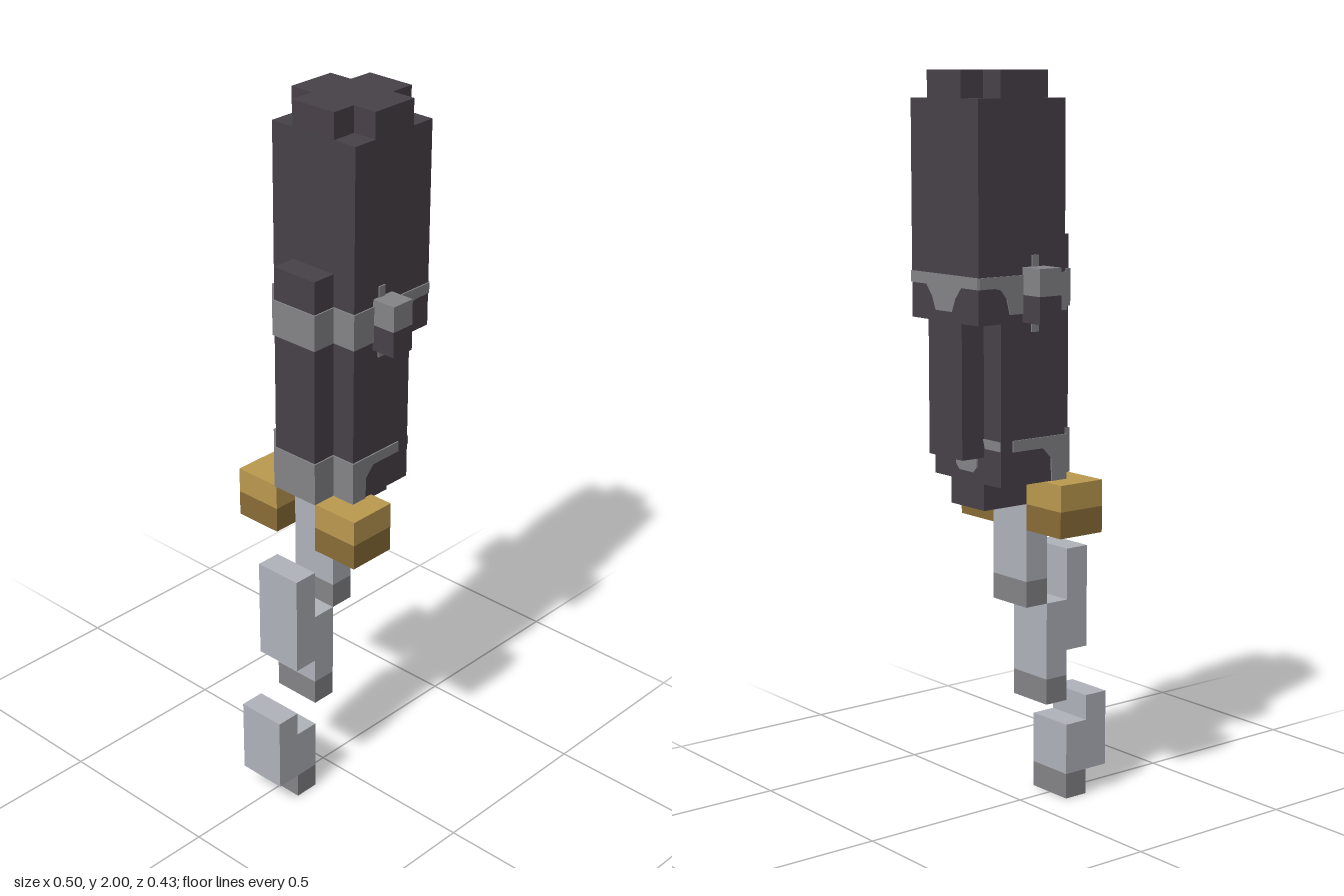
import * as THREE from 'three';

const U = 1 / 14; // one block
const E = 0.004;  // thickness of painted plates

function material(name, color) {
  const m = new THREE.MeshStandardMaterial({ color });
  m.name = name;
  return m;
}

export function createModel() {
  const dark = material('darkGrip', 0x484249);
  const grey = material('steelGrey', 0x858589);
  const pale = material('paleSteel', 0xb1b4bc);
  const gold = material('gold', 0xbd9b50);
  const bronze = material('darkGold', 0x8b6d38);
  const model = new THREE.Group();

  const add = (name, geometry, mat) => {
    const mesh = new THREE.Mesh(geometry, mat);
    mesh.name = name;
    model.add(mesh);
    return mesh;
  };
  // box given by its limits
  const span = (name, mat, x0, x1, y0, y1, z0, z1) =>
    add(name, new THREE.BoxGeometry(x1 - x0, y1 - y0, z1 - z0), mat)
      .position.set((x0 + x1) / 2, (y0 + y1) / 2, (z0 + z1) / 2);
  // box in block units, x counted from the model's right edge
  const block = (name, mat, i0, i1, j0, j1, k0, k1) =>
    span(name, mat, (i0 - 3.5) * U, (i1 - 3.5) * U, j0 * U, j1 * U, k0 * U, k1 * U);
  // thin painted plate from an outline
  const plate = (points) => new THREE.ExtrudeGeometry(
    new THREE.Shape(points.map(([x, y]) => new THREE.Vector2(x, y))),
    { depth: E, bevelEnabled: false });
  const frontAndBack = (name, points, z) => {
    add(name + 'Front', plate(points), grey).position.z = z;
    add(name + 'Back', plate(points), grey).position.z = -z - E;
  };
  const leftSide = (name, points, x) => {
    const mesh = add(name, plate(points), grey);
    mesh.rotation.y = Math.PI / 2;
    mesh.position.x = x;
  };

  // body: cross-shaped cap, wide upper part, narrower lower part
  block('capAcross', dark, 3, 7, 27, 28, -1, 1);
  for (const s of [-1, 1]) {
    block('capSide', dark, 4, 6, 27, 28, Math.min(s, 2 * s), Math.max(s, 2 * s));
  }
  block('upperBody', dark, 3, 7, 19, 27, -2, 2);
  block('lowerBody', dark, 3, 6, 13, 19, -2, 2);
  block('bodyFoot', dark, 4, 6, 12, 13, -1, 1);
  block('leftRib', dark, 6, 7, 14, 19, -1, 1);
  block('rightRib', dark, 2, 3, 13, 22, -1, 1);

  // pegs and gold guards on both faces
  for (const s of [-1, 1]) {
    const near = (a, b) => (s > 0 ? [a, b] : [-b, -a]);
    block('pegTop', grey, 4, 5, 20, 21, ...near(2, 3));
    block('pegBase', dark, 4, 5, 19, 20, ...near(2, 3));
    block('guardTop', gold, 2, 4, 12, 13, ...near(1, 3));
    block('guardBase', bronze, 2, 4, 11, 12, ...near(1, 3));
  }

  // stepped blade segments with shaded lower ends
  block('bladeUpper', pale, 3, 4, 9, 13, -1, 1);
  block('bladeUpperEnd', grey, 3, 4, 8, 9, -1, 1);
  block('bladeMiddle', pale, 2, 3, 5, 8, -1, 1);
  block('bladeMiddleEnd', grey, 2, 3, 4, 5, -1, 1);
  block('bladeMiddleStep', pale, 1, 2, 6, 10, -1, 1);
  block('bladeTip', pale, 1, 2, 1, 3, -1, 1);
  block('bladeTipEnd', grey, 1, 2, 0, 1, -1, 1);
  block('bladeTipStep', pale, 0, 1, 1, 4, -1, 1);

  // painted bands around the right rib and right side
  const x3 = -0.5 * U, x2 = -1.5 * U;
  for (const [y0, y1] of [[1.38, 1.48], [13 * U, 1.05]]) {
    span('ribBand', grey, x2 - E, x3, y0, y1, -U - E, U + E);
    span('sideBand', grey, x3 - E, x3, y0, y1, -2 * U - E, 2 * U + E);
  }

  // painted bands on front and back
  frontAndBack('upperBand', [[x3, 1.38], [0.15, 1.38], [0.16, 1.42], [0.18, 1.445],
    [0.2, 1.45], [0.25, 1.45], [0.25, 1.48], [x3, 1.48]], 2 * U);
  frontAndBack('lowerBand', [[x3, 13 * U], [0.01, 13 * U], [0.012, 0.99], [0.04, 1.02],
    [0.14, 1.02], [0.14, 1.05], [x3, 1.05]], 2 * U);
  frontAndBack('pegMark', [[0.055, 1.33], [0.078, 1.33], [0.078, 1.53], [0.055, 1.53]], 2 * U);

  // painted marks on the left side
  leftSide('leftBand', [[-2 * U, 1.48], [-2 * U, 1.45], [-0.075, 1.45], [-0.05, 1.42],
    [-0.035, 1.385], [0.035, 1.385], [0.05, 1.42], [0.075, 1.45], [2 * U, 1.45], [2 * U, 1.48]], 3.5 * U);
  leftSide('leftFootMark', [[-0.045, 1], [-0.045, 0.97], [-0.03, 0.955], [0.03, 0.955],
    [0.045, 0.97], [0.045, 1]], 2.5 * U);
  for (const s of [-1, 1]) {
    leftSide('leftCornerMark', [[s * U, 1.05], [s * 0.08, 1.025], [s * 2 * U, 1.025], [s * 2 * U, 1.05]], 2.5 * U);
  }
  return model;
}
